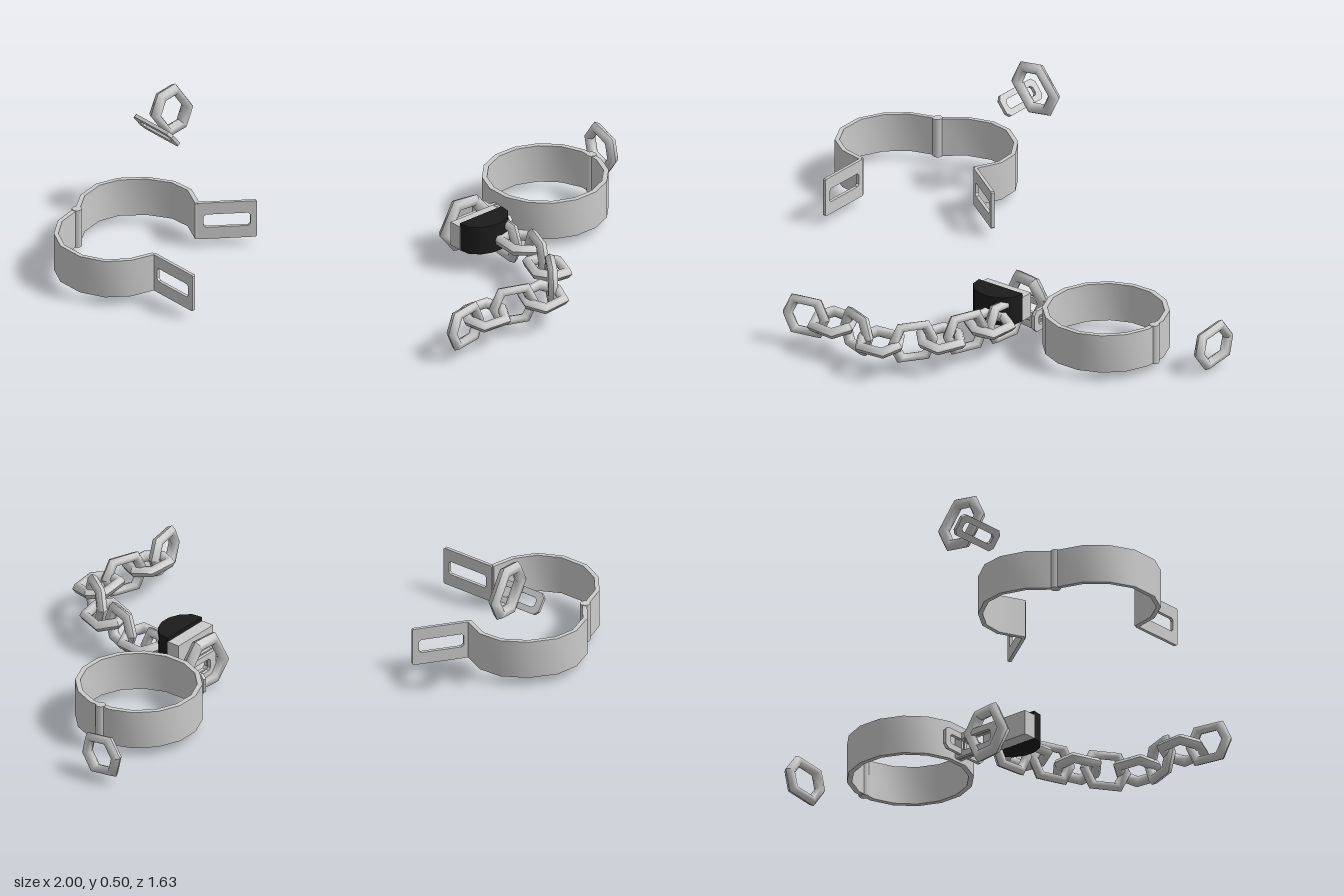
import * as THREE from 'three';
import { toCreasedNormals } from 'three/addons/utils/BufferGeometryUtils.js';

const grey = new THREE.MeshStandardMaterial({ color: 0xcccccc });
const dark = new THREE.MeshStandardMaterial({ color: 0x1c1c1c });
const BASE = 0.045, HEIGHT = 0.14;

export function createModel() {
  const model = new THREE.Group();

  const add = (name, geometry, x, y, z, material = grey) => {
    const mesh = new THREE.Mesh(geometry, material);
    mesh.name = name;
    mesh.position.set(x, y, z);
    model.add(mesh);
    return mesh;
  };

  // Plan outlines are given in x and z, then raised upward.
  const plan = (pts) => pts.map(([x, z]) => new THREE.Vector2(x, -z));
  const raise = (shape, depth) => toCreasedNormals(
    new THREE.ExtrudeGeometry(shape, { depth, bevelEnabled: false }).rotateX(-Math.PI / 2), 0.75);

  // Bent strip of constant thickness following a plan path
  const strip = (pts, t) => {
    const p = plan(pts), left = [], right = [];
    p.forEach((v, i) => {
      const d = p[Math.min(i + 1, p.length - 1)].clone().sub(p[Math.max(i - 1, 0)]).normalize();
      const n = new THREE.Vector2(-d.y, d.x).multiplyScalar(t / 2);
      left.push(v.clone().add(n));
      right.unshift(v.clone().sub(n));
    });
    return raise(new THREE.Shape([...left, ...right]), HEIGHT);
  };

  // Rectangle with clipped corners
  const clipped = (w, h, c) => {
    const x = w / 2, y = h / 2;
    return [[-x + c, -y], [x - c, -y], [x, -y + c], [x, y - c], [x - c, y], [-x + c, y], [-x, y - c], [-x, -y + c]]
      .map(([a, b]) => new THREE.Vector2(a, b));
  };

  // Flat plate with a long slot, lying in its local xy plane
  const slotted = (w, h, slotW, slotH, t, c) => {
    const shape = new THREE.Shape(clipped(w, h, c));
    shape.holes.push(new THREE.Path(clipped(slotW, slotH, 0.008)));
    return new THREE.ExtrudeGeometry(shape, { depth: t, bevelEnabled: false }).translate(0, 0, -t / 2);
  };

  // Six-sided chain link, long along local x, with its shoulders pushed outward
  const linkGeometry = new THREE.TorusGeometry(0.072, 0.019, 6, 6);
  const corners = linkGeometry.attributes.position;
  for (let i = 0; i < corners.count; i++) {
    const x = corners.getX(i), y = corners.getY(i);
    corners.setXY(i, x * (1 + 0.25 * Math.min(1, Math.abs(y) / 0.06)), y * 0.92);
  }
  linkGeometry.computeVertexNormals();

  const hinge = (name, x, z) => {
    add(name, new THREE.CylinderGeometry(0.018, 0.018, HEIGHT + 0.004, 8), x, BASE + HEIGHT / 2, z);
  };

  // Closed cuff: thin sixteen-sided ring, outlined anticlockwise
  const circle = (r) => Array.from({ length: 16 }, (_, i) => {
    const a = (i + 0.5) / 16 * Math.PI * 2;
    return [0.61 + r * Math.cos(a), 0.14 - r * Math.sin(a)];
  });
  const ring = new THREE.Shape(plan(circle(0.22)));
  ring.holes.push(new THREE.Path(plan(circle(0.202))));
  add('closedCuff', raise(ring, HEIGHT), 0, BASE, 0);
  hinge('closedCuffHinge', 0.82, 0.14);
  for (const z of [0.13, 0.147])
    add('closedCuffTab', slotted(0.19, 0.09, 0.13, 0.045, 0.012, 0.004), 0.3, 0.097, z);

  // Open cuff: two hinged halves
  add('openCuffLeftHalf', strip([[-0.79, -0.30], [-0.88, -0.32], [-0.95, -0.37], [-0.99, -0.45],
    [-0.99, -0.55], [-0.95, -0.63], [-0.88, -0.69], [-0.78, -0.72]], 0.016), 0, BASE, 0);
  add('openCuffRightHalf', strip([[-0.78, -0.715], [-0.70, -0.78], [-0.61, -0.805], [-0.53, -0.79],
    [-0.45, -0.73], [-0.40, -0.65], [-0.395, -0.57], [-0.437, -0.48]], 0.016), 0, BASE, 0);
  hinge('openCuffHinge', -0.78, -0.717);

  // Slotted end tabs of the open cuff
  for (const [x1, z1, x2, z2] of [[-0.79, -0.30, -0.79, -0.09], [-0.437, -0.482, -0.268, -0.363]]) {
    const w = Math.hypot(x2 - x1, z2 - z1);
    const tab = add('openCuffTab', slotted(w, HEIGHT, w - 0.045, 0.05, 0.012, 0.004),
      (x1 + x2) / 2, BASE + HEIGHT / 2, (z1 + z2) / 2);
    tab.rotation.y = -Math.atan2(z2 - z1, x2 - x1);
  }

  // Locking staples, long along z, each with a link hanging through
  for (const [x, y, z, tilt] of [[-0.42, 0.368, -0.713, 0.65], [0.37, 0.1, 0.14, 0]]) {
    const staple = add('staple', slotted(0.2, 0.08, 0.15, 0.035, 0.012, 0.015), x, y, z);
    staple.rotation.set(0, Math.PI / 2, tilt, 'ZYX');
  }
  const upperLink = add('upperLockLink', linkGeometry, -0.353, 0.422, -0.715);
  upperLink.rotation.set(0, 0.06, -0.95, 'YXZ');
  upperLink.scale.set(1.18, 1.0, 1.1);
  const lowerLink = add('lowerLockLink', linkGeometry, 0.255, 0.113, 0.13);
  lowerLink.rotation.set(0, -0.12, 1.1, 'YXZ');
  lowerLink.scale.setScalar(1.18);

  // Loose link beside the closed cuff
  add('looseLink', linkGeometry, 0.977, 0.104, 0.01).rotation.set(0, Math.PI / 2 - 0.12, 0.2);

  // Chain: links alternate between upright and flat
  const chain = [
    [-0.25, 0.125, 0.715, -0.17], [-0.145, 0.125, 0.70, 0.08], [-0.03, 0.13, 0.715, 0.36],
    [0.085, 0.13, 0.735, -0.1], [0.18, 0.135, 0.67, -0.95], [0.235, 0.13, 0.585, -1.2],
    [0.27, 0.13, 0.49, -1.2], [0.288, 0.125, 0.38, -1.5], [0.29, 0.11, 0.30, -1.45],
  ];
  chain.forEach(([x, y, z, angle], i) => {
    const link = add('chainLink', linkGeometry, x, y, z);
    link.rotation.set(i % 2 ? Math.PI / 2 + 0.15 : 0, -angle, 0, 'YXZ');
  });

  // Lock body: grey back block and dark rounded front
  add('lockBack', new THREE.BoxGeometry(0.19, 0.09, 0.05), 0.23, 0.138, 0.217);
  const front = new THREE.Shape(plan([[0.135, 0.24], [0.14, 0.28], [0.17, 0.312], [0.21, 0.328],
    [0.25, 0.328], [0.29, 0.312], [0.32, 0.28], [0.325, 0.24]]));
  add('lockFront', raise(front, 0.105), 0, 0.0925, 0, dark);

  return model;
}
